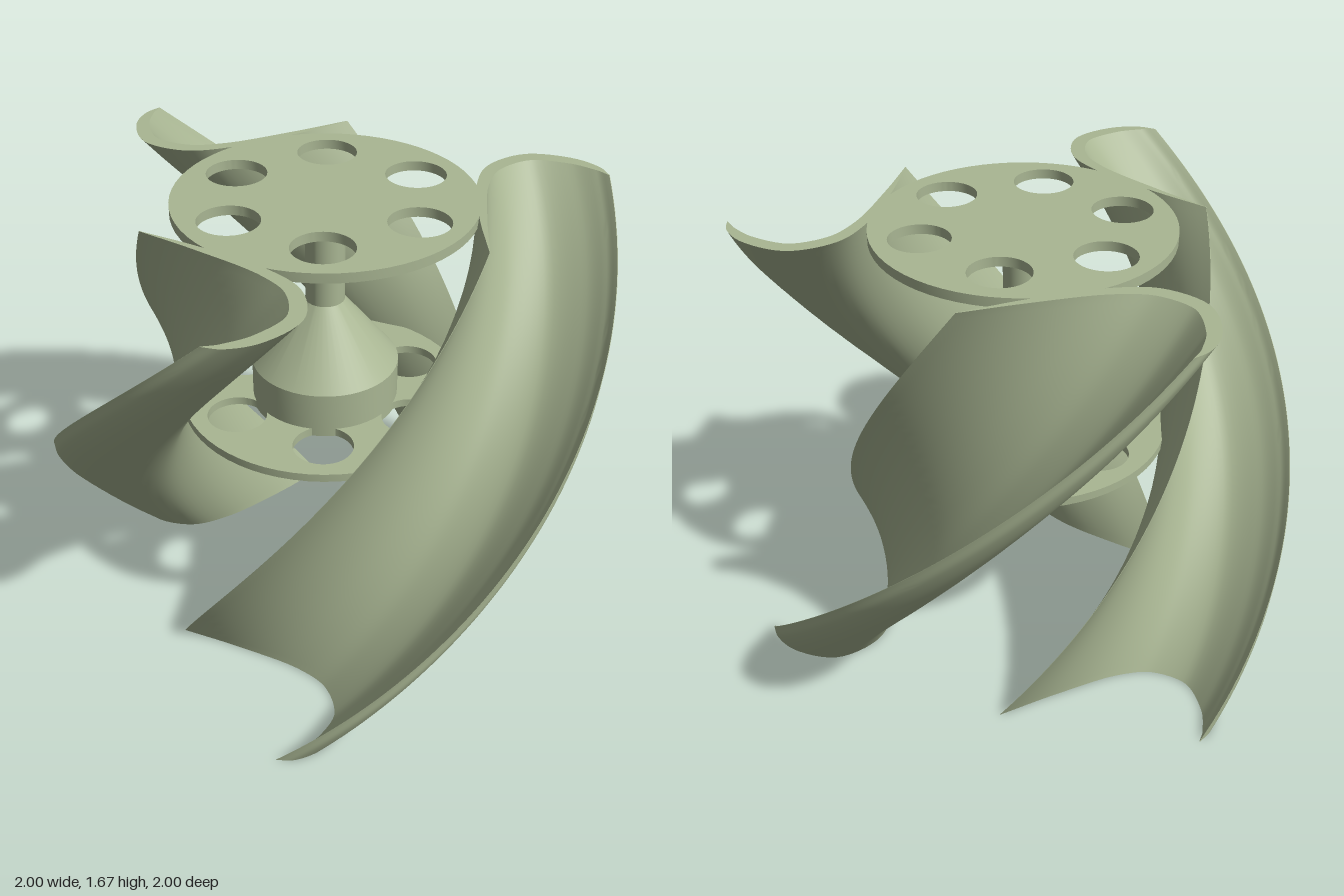
import * as THREE from 'three';
import { toCreasedNormals } from 'three/addons/utils/BufferGeometryUtils.js';

const HEIGHT = 1.67;
const TWIST = THREE.MathUtils.degToRad(109.4);
const material = new THREE.MeshStandardMaterial({ color: 0xa9b693 });

function addMesh(parent, name, geometry) {
  const mesh = new THREE.Mesh(toCreasedNormals(geometry, 0.6), material);
  mesh.name = name;
  parent.add(mesh);
  return mesh;
}

// J-shaped section at the top: x and z of the convex side, y holds the wall thickness
function bladeSection(steps) {
  const curve = new THREE.CatmullRomCurve3([
    [0.763, 0.002, 0.647], [0.797, 0.03, 0.59], [0.803, 0.048, 0.48], [0.725, 0.054, 0.327],
    [0.565, 0.052, 0.278], [0.42, 0.042, 0.328], [0.2, 0.025, 0.49], [0.03, 0.002, 0.645],
  ].map((p) => new THREE.Vector3(...p)));
  const convex = [], concave = [];
  for (let i = 0; i <= steps; i++) {
    const p = curve.getPoint(i / steps);
    const t = curve.getTangent(i / steps);
    const k = p.y / Math.hypot(t.x, t.z);
    convex.push([p.x, p.z]);
    concave.push([p.x + t.z * k, p.z - t.x * k]);
  }
  return { convex, concave };
}

// Sweep the section upwards while turning it about the axis
function bladeGeometry() {
  const steps = 40, rows = 56;
  const { convex, concave } = bladeSection(steps);
  const loop = [...convex, ...concave.reverse()];
  const n = loop.length;
  const positions = [], index = [];
  for (let j = 0; j <= rows; j++) {
    const a = TWIST * (1 - j / rows), c = Math.cos(a), s = Math.sin(a);
    for (const [x, z] of loop) positions.push(x * c - z * s, HEIGHT * j / rows, x * s + z * c);
  }
  for (let j = 0; j < rows; j++) {
    for (let i = 0; i < n; i++) {
      const a = j * n + i, b = j * n + (i + 1) % n;
      index.push(a, b, b + n, a, b + n, a + n);
    }
  }
  // end caps
  const top = rows * n;
  for (let i = 0; i < steps; i++) {
    const a = i, b = i + 1, c = n - 2 - i, d = n - 1 - i;
    index.push(top + a, top + b, top + c, top + a, top + c, top + d);
    index.push(a, c, b, a, d, c);
  }
  const geometry = new THREE.BufferGeometry();
  geometry.setAttribute('position', new THREE.Float32BufferAttribute(positions, 3));
  geometry.setIndex(index);
  return geometry;
}

// Flat disc with six round holes and an optional bore
function discGeometry(y, thickness, bore) {
  const shape = new THREE.Shape().absarc(0, 0, 0.525, 0, Math.PI * 2);
  const hole = (x, z, r) => shape.holes.push(new THREE.Path().absarc(x, z, r, 0, Math.PI * 2, true));
  for (let k = 0; k < 6; k++) {
    const a = THREE.MathUtils.degToRad(21 + 60 * k);
    hole(0.36 * Math.cos(a), 0.36 * Math.sin(a), 0.107);
  }
  if (bore) hole(0, 0, bore);
  const geometry = new THREE.ExtrudeGeometry(shape, { depth: thickness, bevelEnabled: false, curveSegments: 32 });
  return geometry.rotateX(Math.PI / 2).translate(0, y + thickness, 0);
}

export function createModel() {
  const model = new THREE.Group();
  model.name = 'helicalTurbine';

  // three twisted blades
  const blade = bladeGeometry();
  for (let k = 0; k < 3; k++) {
    addMesh(model, 'blade' + (k + 1), blade).rotation.y = k * Math.PI * 2 / 3;
  }

  // upper and lower mounting discs
  addMesh(model, 'upperDisc', discGeometry(1.635, 0.035, 0));
  addMesh(model, 'lowerDisc', discGeometry(0.865, 0.03, 0.25));

  // hollow hub, cone and shaft in one profile
  const profile = [
    [0, 1.035], [0.235, 1.035], [0.235, 0.865], [0.265, 0.865],
    [0.265, 1.035], [0.07, 1.28], [0.07, 1.64],
  ].map(([x, y]) => new THREE.Vector2(x, y));
  addMesh(model, 'hubAndShaft', new THREE.LatheGeometry(profile, 48));

  return model;
}
